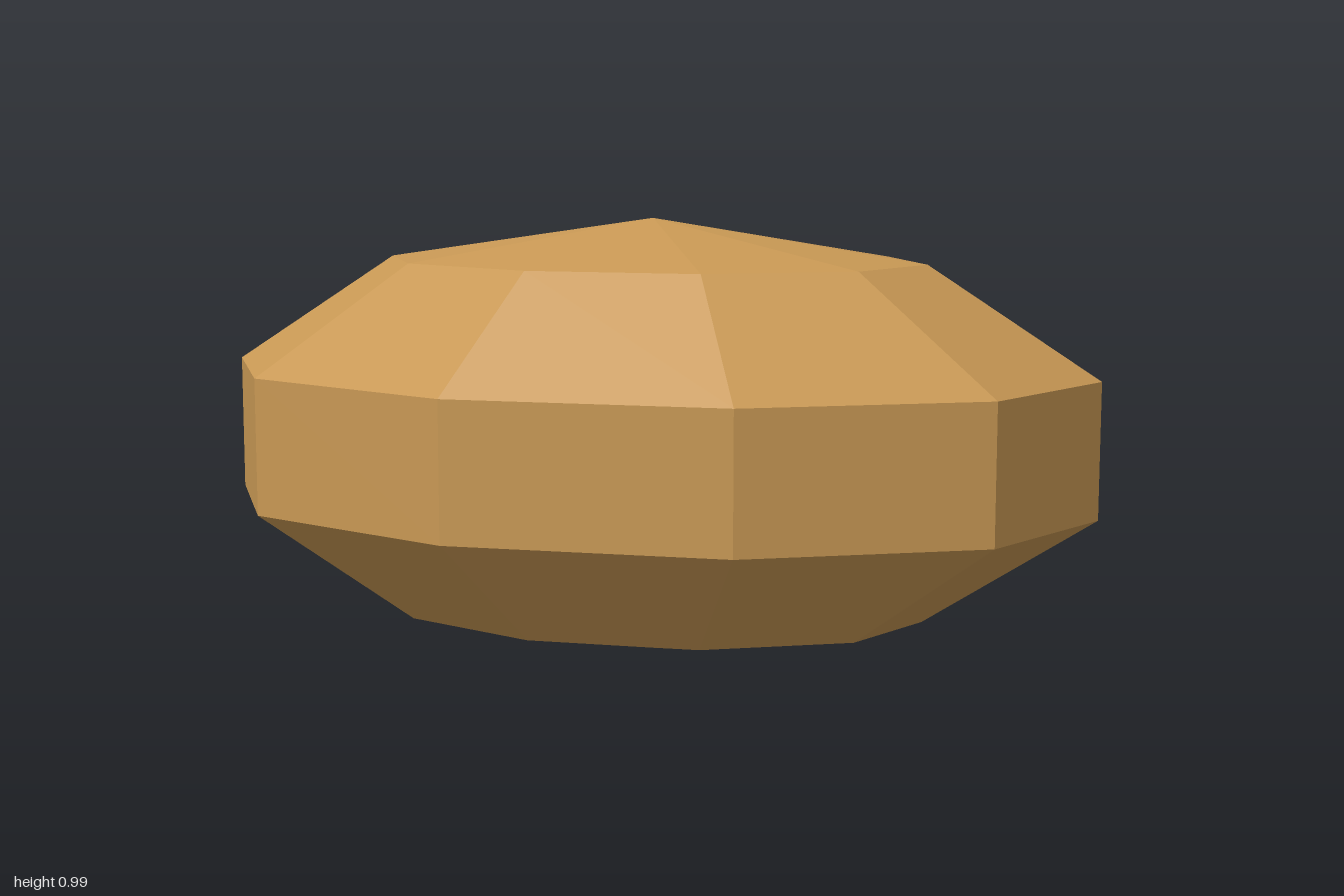
import * as THREE from 'three';

export function createModel() {
  const group = new THREE.Group();
  group.name = 'facetedStone';

  const tan = new THREE.MeshStandardMaterial({ color: 0xc89854 });
  tan.name = 'tan';

  // Flattened ten-sided, five-band ball; the middle band is an upright belt
  const halfHeight = 0.4945;
  const widest = Math.sin(Math.PI * 2 / 5); // radius of the belt rings on a unit ball
  const ball = new THREE.SphereGeometry(1, 10, 5);
  ball.scale(1 / widest, halfHeight, 0.633 / widest);
  ball.translate(0, halfHeight, 0);

  // Split faces so every facet is shaded flat
  const facets = ball.toNonIndexed();
  facets.computeVertexNormals();

  const stone = new THREE.Mesh(facets, tan);
  stone.name = 'stone';
  group.add(stone);
  return group;
}
